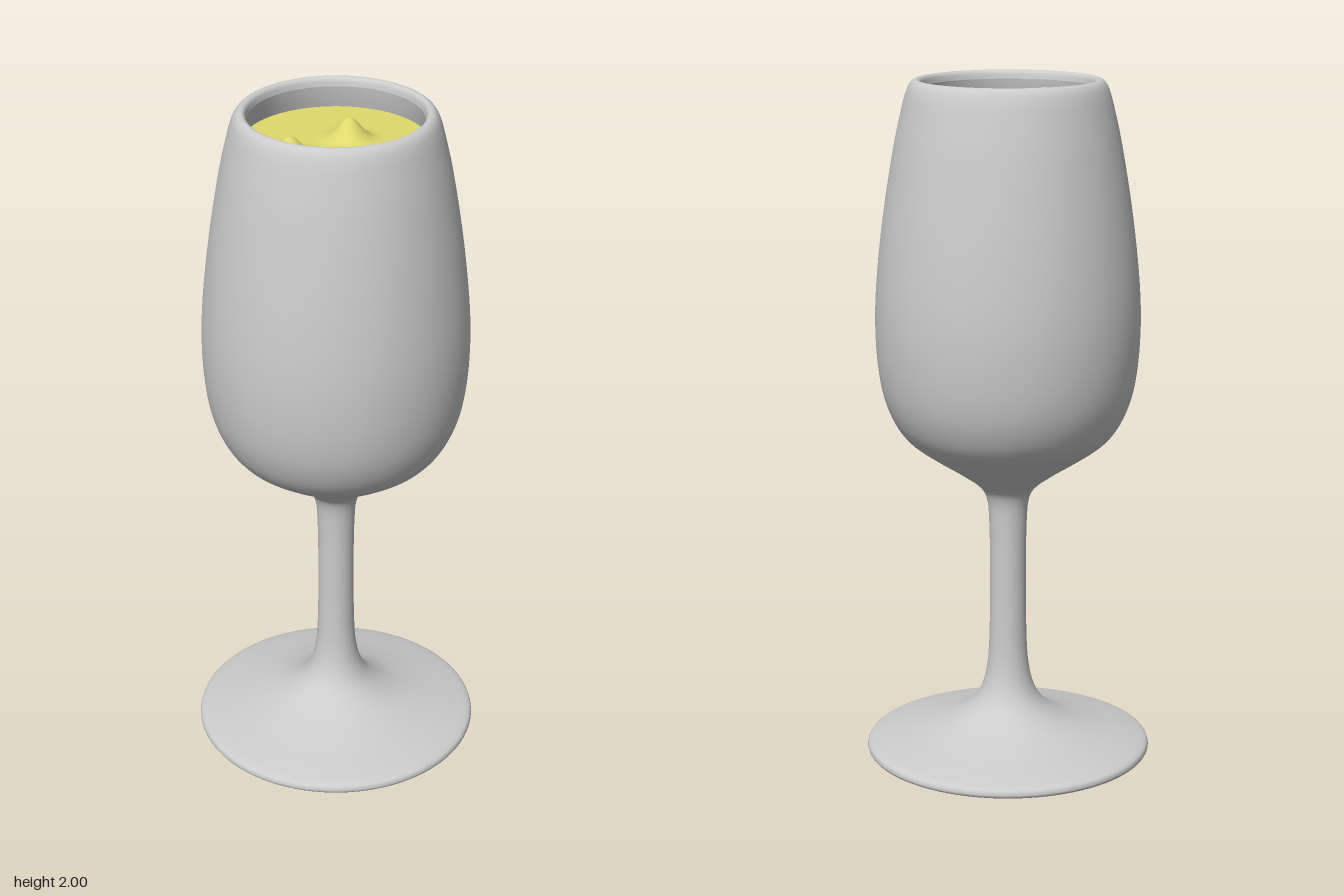
import * as THREE from 'three';

const SEGMENTS = 96;
const LIQUID_LEVEL = 1.91;

// Smooth list of lathe points through a few [radius, height] pairs
function smoothProfile(pairs, divisions) {
  const curve = new THREE.SplineCurve(pairs.map(([r, y]) => new THREE.Vector2(r, y)));
  return curve.getPoints(divisions).map((p) => new THREE.Vector2(Math.max(p.x, 0), p.y));
}

function addMesh(group, name, geometry, material) {
  const mesh = new THREE.Mesh(geometry, material);
  mesh.name = name;
  group.add(mesh);
  return mesh;
}

export function createModel() {
  const group = new THREE.Group();
  group.name = 'wineGlass';
  const glass = new THREE.MeshStandardMaterial({ color: 0xcccccc });
  const liquid = new THREE.MeshStandardMaterial({ color: 0xe0da6c });

  // Underside of the foot, with a shallow recess
  const underside = [[0, 0.008], [0.18, 0.008], [0.24, 0.002], [0.4, 0]]
    .map(([r, y]) => new THREE.Vector2(r, y));
  addMesh(group, 'footUnderside', new THREE.LatheGeometry(underside, SEGMENTS), glass);

  // Foot, stem and outside of the bowl, rolling over the rim
  const outside = smoothProfile([
    [0.4, 0], [0.417, 0.006], [0.421, 0.018], [0.41, 0.032], [0.36, 0.046],
    [0.27, 0.068], [0.18, 0.098], [0.115, 0.14], [0.08, 0.19], [0.062, 0.26],
    [0.055, 0.36], [0.053, 0.55], [0.055, 0.7], [0.062, 0.775], [0.085, 0.815],
    [0.145, 0.86], [0.23, 0.915], [0.295, 0.965], [0.338, 1.03], [0.367, 1.12],
    [0.381, 1.25], [0.379, 1.4], [0.358, 1.6], [0.326, 1.8], [0.3, 1.92],
    [0.286, 1.97], [0.274, 1.992], [0.26, 2], [0.248, 1.994], [0.243, 1.975],
  ], 150);
  addMesh(group, 'glassOutside', new THREE.LatheGeometry(outside, SEGMENTS), glass);

  // Inside wall of the bowl
  const inside = smoothProfile([
    [0.243, 1.975], [0.252, 1.93], [0.285, 1.8], [0.32, 1.6], [0.342, 1.4],
    [0.344, 1.25], [0.33, 1.13], [0.295, 1.03], [0.22, 0.955], [0.1, 0.905], [0, 0.895],
  ], 60);
  addMesh(group, 'glassInside', new THREE.LatheGeometry(inside, SEGMENTS), glass);

  // Liquid surface: a disc raised by soft rounded bubbles [x, z, height, spread]
  const bubbles = [
    [0.035, -0.015, 0.065, 0.045],
    [-0.12, 0.1, 0.055, 0.042],
    [0.01, 0.11, 0.025, 0.04],
  ];
  const surface = new THREE.RingGeometry(0.0005, 0.258, SEGMENTS, 48);
  surface.rotateX(-Math.PI / 2);
  const pos = surface.attributes.position;
  for (let i = 0; i < pos.count; i++) {
    let y = LIQUID_LEVEL;
    for (const [x, z, height, spread] of bubbles) {
      const d2 = (pos.getX(i) - x) ** 2 + (pos.getZ(i) - z) ** 2;
      y += height * Math.exp(-d2 / (spread * spread));
    }
    pos.setY(i, y);
  }
  surface.computeVertexNormals();
  addMesh(group, 'liquidSurface', surface, liquid);

  return group;
}
